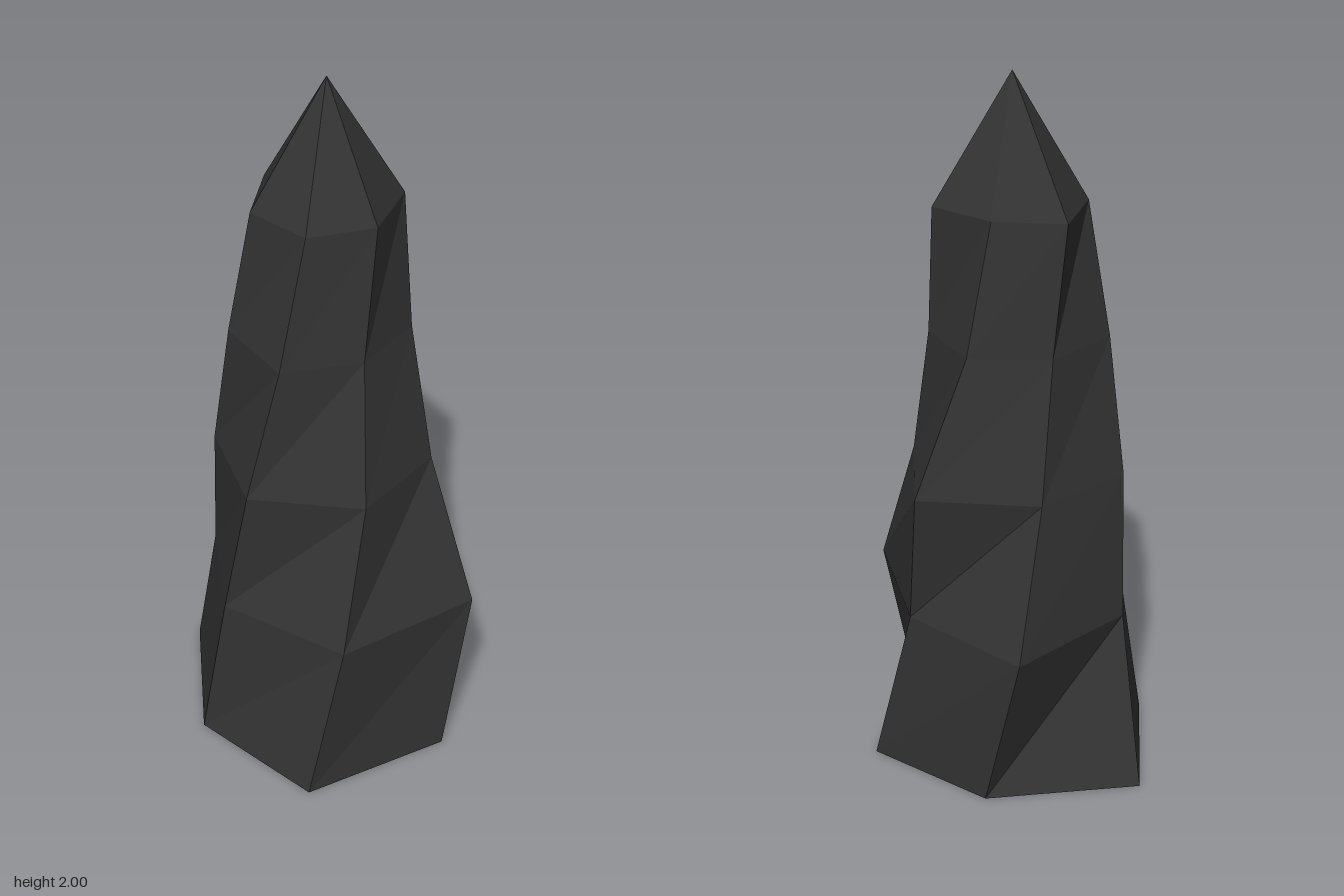
import * as THREE from 'three';

// Six-sided cross-sections from the ground up: height, then [x, z] corners.
// Each section is narrower and twisted a little further than the one below.
const SECTIONS = [
  { y: 0.0, ring: [[0.41, 0.02], [0.19, 0.385], [-0.25, 0.41], [-0.41, 0.02], [-0.255, -0.385], [0.18, -0.31]] },
  { y: 0.475, ring: [[0.32, -0.06], [0.288, 0.355], [-0.145, 0.415], [-0.355, 0.08], [-0.25, -0.235], [0.115, -0.417]] },
  { y: 0.88, ring: [[0.325, -0.15], [0.232, 0.19], [-0.04, 0.33], [-0.31, 0.15], [-0.27, -0.165], [0.01, -0.29]] },
  { y: 1.265, ring: [[0.17, -0.13], [0.208, 0.1], [0.01, 0.212], [-0.215, 0.165], [-0.25, -0.09], [-0.045, -0.21]] },
  { y: 1.64, ring: [[0.1, -0.13], [0.212, 0.035], [0.06, 0.18], [-0.13, 0.15], [-0.203, -0.035], [-0.083, -0.212]] },
];
const SIDES = 6;

// Flat-faceted geometry from a list of triangles
function facets(triangles) {
  const geometry = new THREE.BufferGeometry().setFromPoints(triangles.flat());
  geometry.computeVertexNormals();
  return geometry;
}

export function createModel() {
  const stone = new THREE.MeshStandardMaterial({ color: 0x333333 });
  stone.name = 'dark stone';
  stone.flatShading = true;

  const model = new THREE.Group();
  model.name = 'rockSpire';
  const addPart = (name, triangles) => {
    const mesh = new THREE.Mesh(facets(triangles), stone);
    mesh.name = name;
    model.add(mesh);
  };

  const rings = SECTIONS.map(({ y, ring }) => ring.map(([x, z]) => new THREE.Vector3(x, y, z)));
  const apex = new THREE.Vector3(0, 2, 0);
  const ground = new THREE.Vector3(0, 0, 0);
  const top = rings[rings.length - 1];

  const shaft = [];
  const tip = [];
  const underside = [];
  for (let i = 0; i < SIDES; i++) {
    const j = (i + 1) % SIDES;
    // Shaft: two triangles per side between neighbouring sections
    for (let k = 0; k < rings.length - 1; k++) {
      const low = rings[k];
      const high = rings[k + 1];
      shaft.push([low[i], high[i], low[j]], [high[i], high[j], low[j]]);
    }
    // Pointed tip and flat underside
    tip.push([top[i], apex, top[j]]);
    underside.push([ground, rings[0][i], rings[0][j]]);
  }

  addPart('shaft', shaft);
  addPart('tip', tip);
  addPart('underside', underside);
  return model;
}
